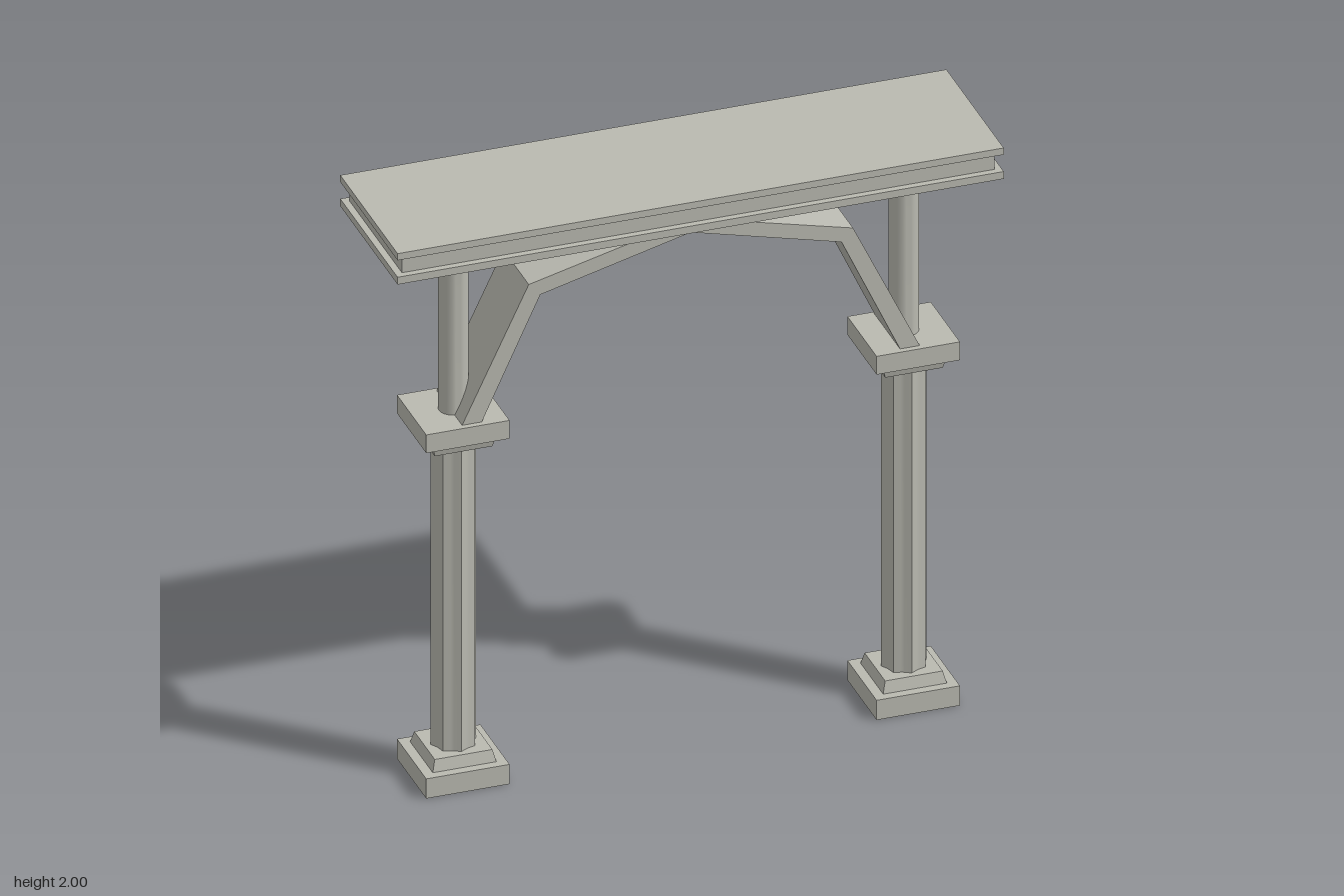
import * as THREE from 'three';
import { toCreasedNormals } from 'three/addons/utils/BufferGeometryUtils.js';

const stone = new THREE.MeshStandardMaterial({ color: 0xb9b9b0 });
stone.name = 'grey stone';

const COLUMN_X = 0.743;
const COLUMN_Z = 0.06;

function add(parent, name, geometry, x = 0, y = 0, z = 0) {
  const mesh = new THREE.Mesh(geometry, stone);
  mesh.name = name;
  mesh.position.set(x, y, z);
  parent.add(mesh);
  return mesh;
}

// Box given by its bottom and top heights
function block(parent, name, w, d, y0, y1) {
  return add(parent, name, new THREE.BoxGeometry(w, y1 - y0, d), 0, (y0 + y1) / 2, 0);
}

// Square block whose top and bottom widths differ
function taper(parent, name, bottom, top, y0, y1) {
  const g = new THREE.CylinderGeometry(top * Math.SQRT1_2, bottom * Math.SQRT1_2, y1 - y0, 4)
    .rotateY(Math.PI / 4);
  return add(parent, name, toCreasedNormals(g, 0.5), 0, (y0 + y1) / 2, 0);
}

// Round shaft with eight shallow concave flutes
function flutedShaft(y0, y1) {
  const pts = [];
  const steps = 8;
  for (let i = 0; i < 8 * steps; i++) {
    const a = (i / (8 * steps)) * Math.PI * 2;
    const r = 0.075 - 0.009 * Math.sin(((i % steps) / steps) * Math.PI);
    pts.push(new THREE.Vector2(Math.cos(a) * r, Math.sin(a) * r));
  }
  const g = new THREE.ExtrudeGeometry(new THREE.Shape(pts), { depth: y1 - y0, bevelEnabled: false });
  g.rotateX(-Math.PI / 2).translate(0, y0, 0);
  return toCreasedNormals(g, 0.5);
}

function column() {
  const g = new THREE.Group();
  block(g, 'basePlinth', 0.275, 0.27, 0, 0.07);
  taper(g, 'baseTaper', 0.21, 0.19, 0.07, 0.11);
  add(g, 'flutedShaft', flutedShaft(0.11, 1.19));
  taper(g, 'capitalTaper', 0.19, 0.21, 1.19, 1.23);
  block(g, 'capitalPlate', 0.275, 0.27, 1.23, 1.295);
  // Plain upper post between capital and beam
  const post = toCreasedNormals(new THREE.CylinderGeometry(0.048, 0.048, 0.595, 32), 0.5);
  add(g, 'upperPost', post, 0, 1.5925, 0);
  return g;
}

export function createModel() {
  const model = new THREE.Group();
  model.name = 'archway';

  for (const side of [-1, 1]) {
    const c = column();
    c.name = side > 0 ? 'leftColumn' : 'rightColumn';
    c.position.set(side * COLUMN_X, 0, COLUMN_Z);
    model.add(c);
  }

  // Faceted arch band: outer line across, inner line back
  const outer = [[0.755, 1.295], [0.535, 1.755], [0, 1.89], [-0.535, 1.755], [-0.755, 1.295]];
  const inner = [[-0.69, 1.295], [-0.497, 1.712], [0, 1.84], [0.497, 1.712], [0.69, 1.295]];
  const shape = new THREE.Shape([...outer, ...inner].map(([x, y]) => new THREE.Vector2(x, y)));
  const arch = new THREE.ExtrudeGeometry(shape, { depth: 0.235, bevelEnabled: false });
  add(model, 'archBand', arch, 0, 0, -0.06);

  // Beam with a recessed middle
  const beam = new THREE.Group();
  beam.name = 'beam';
  block(beam, 'lowerSlab', 2, 0.53, 1.89, 1.916);
  block(beam, 'recessedCore', 1.955, 0.485, 1.916, 1.976);
  block(beam, 'upperSlab', 2, 0.53, 1.976, 2);
  model.add(beam);

  return model;
}
